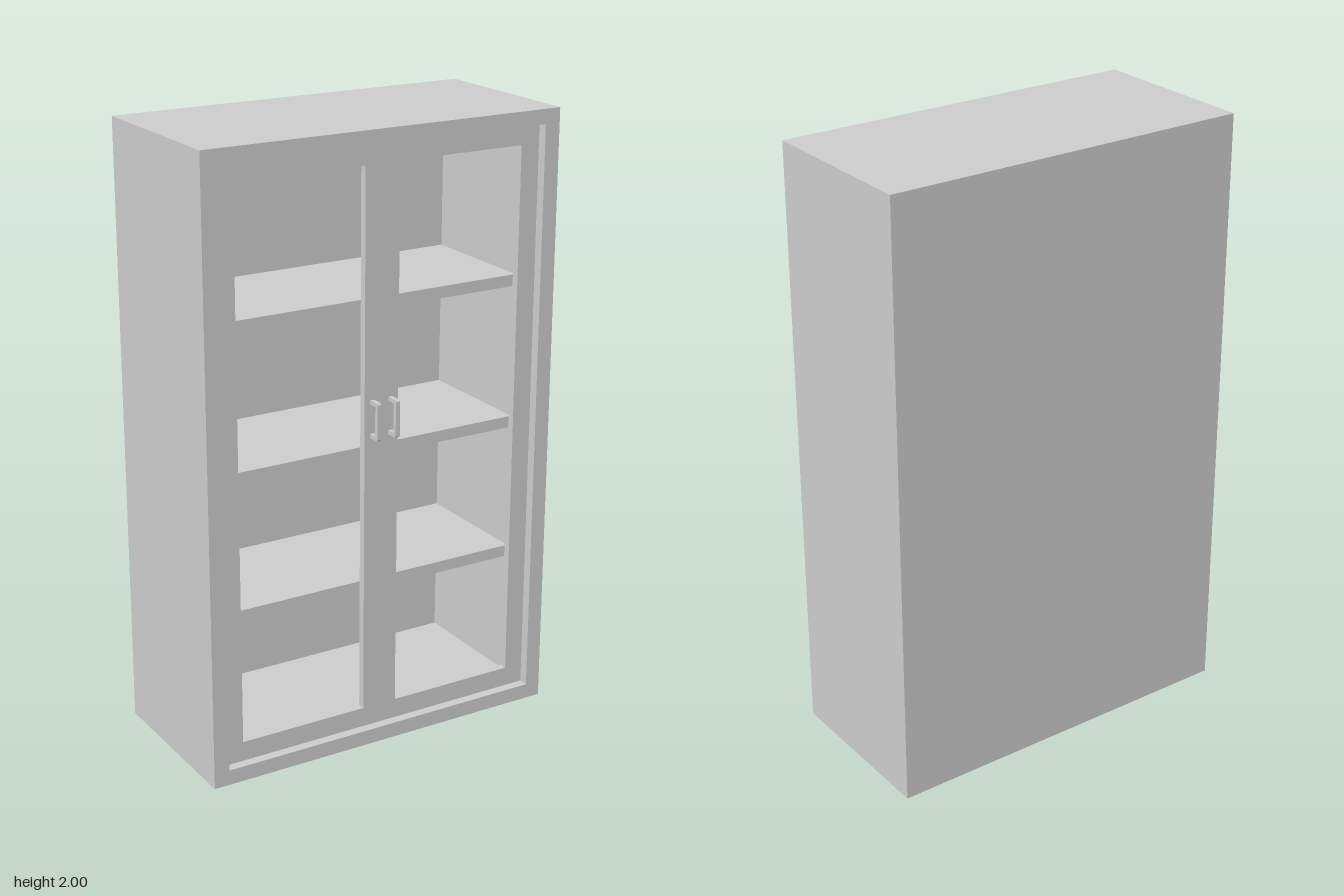
import * as THREE from 'three';

const W = 0.616, H = 2, BACK = -0.294, FRONT = 0.281;      // outer case
const IW = 0.564, Y0 = 0.05, Y1 = 1.953, INNER_BACK = -0.278; // inner cavity
const DOOR_FRONT = 0.25, DOOR_T = 0.025;

const material = new THREE.MeshStandardMaterial({ color: 0xcccccc, side: THREE.DoubleSide, flatShading: true });

function add(parent, name, geometry, x = 0, y = 0, z = 0) {
  const mesh = new THREE.Mesh(geometry, material);
  mesh.name = name;
  mesh.position.set(x, y, z);
  parent.add(mesh);
  return mesh;
}

// Box without the listed faces (0 +x, 1 -x, 2 +y, 3 -y, 4 +z, 5 -z)
function openBox(w, h, d, removed) {
  const g = new THREE.BoxGeometry(w, h, d);
  const index = Array.from(g.index.array).filter((_, i) => !removed.includes(Math.floor(i / 6)));
  g.setIndex(index);
  g.clearGroups();
  return g;
}

function rect(Type, x0, y0, x1, y1) {
  return new Type([[x0, y0], [x1, y0], [x1, y1], [x0, y1]].map(([x, y]) => new THREE.Vector2(x, y)));
}

export function createModel() {
  const cabinet = new THREE.Group();
  cabinet.name = 'displayCabinet';

  // Thin outer case, open underneath and at the front
  add(cabinet, 'outerCase', openBox(2 * W, H, FRONT - BACK, [3, 4]), 0, H / 2, (FRONT + BACK) / 2);

  // Inner lining: floor, ceiling, sides and back
  add(cabinet, 'innerLining', openBox(2 * IW, Y1 - Y0, FRONT - INNER_BACK, [4]),
    0, (Y0 + Y1) / 2, (FRONT + INNER_BACK) / 2);

  // Front border joining case and lining
  const border = rect(THREE.Shape, -W, 0, W, H);
  border.holes.push(rect(THREE.Path, -IW, Y0, IW, Y1));
  add(cabinet, 'frontFrame', new THREE.ShapeGeometry(border), 0, 0, FRONT);

  // Recessed door panel with two window openings
  const e = 0.001;
  const door = rect(THREE.Shape, -IW + e, Y0 + e, IW - e, Y1 - e);
  for (const [a, b] of [[-0.498, -0.06], [0.06, 0.498]]) {
    door.holes.push(rect(THREE.Path, a, 0.116, b, 1.89));
  }
  add(cabinet, 'doors', new THREE.ExtrudeGeometry(door, { depth: DOOR_T, bevelEnabled: false }),
    0, 0, DOOR_FRONT - DOOR_T);

  // Shelves
  const shelfFront = 0.15, shelfDepth = shelfFront - INNER_BACK;
  for (const y of [0.494, 0.952, 1.431]) {
    add(cabinet, 'shelf', new THREE.BoxGeometry(2 * IW - 2 * e, 0.038, shelfDepth),
      0, y, shelfFront - shelfDepth / 2);
  }

  // Bracket handles: side profile in (z, y), extruded across x
  const reach = 0.043, t = 0.013, c = 0.005, hh = 0.061, width = 0.015;
  const profile = new THREE.Shape([
    [0, -hh], [reach - c, -hh], [reach, -hh + c], [reach, hh - c], [reach - c, hh], [0, hh],
    [0, hh - t], [reach - t, hh - t], [reach - t, -hh + t], [0, -hh + t],
  ].map(([z, y]) => new THREE.Vector2(z, y)));
  for (const side of [-1, 1]) {
    const g = new THREE.ExtrudeGeometry(profile, { depth: width, bevelEnabled: false });
    g.translate(0, 0, -width / 2);
    g.rotateY(-Math.PI / 2);
    add(cabinet, side > 0 ? 'leftHandle' : 'rightHandle', g, side * 0.033, 1.1, DOOR_FRONT);
  }

  return cabinet;
}
